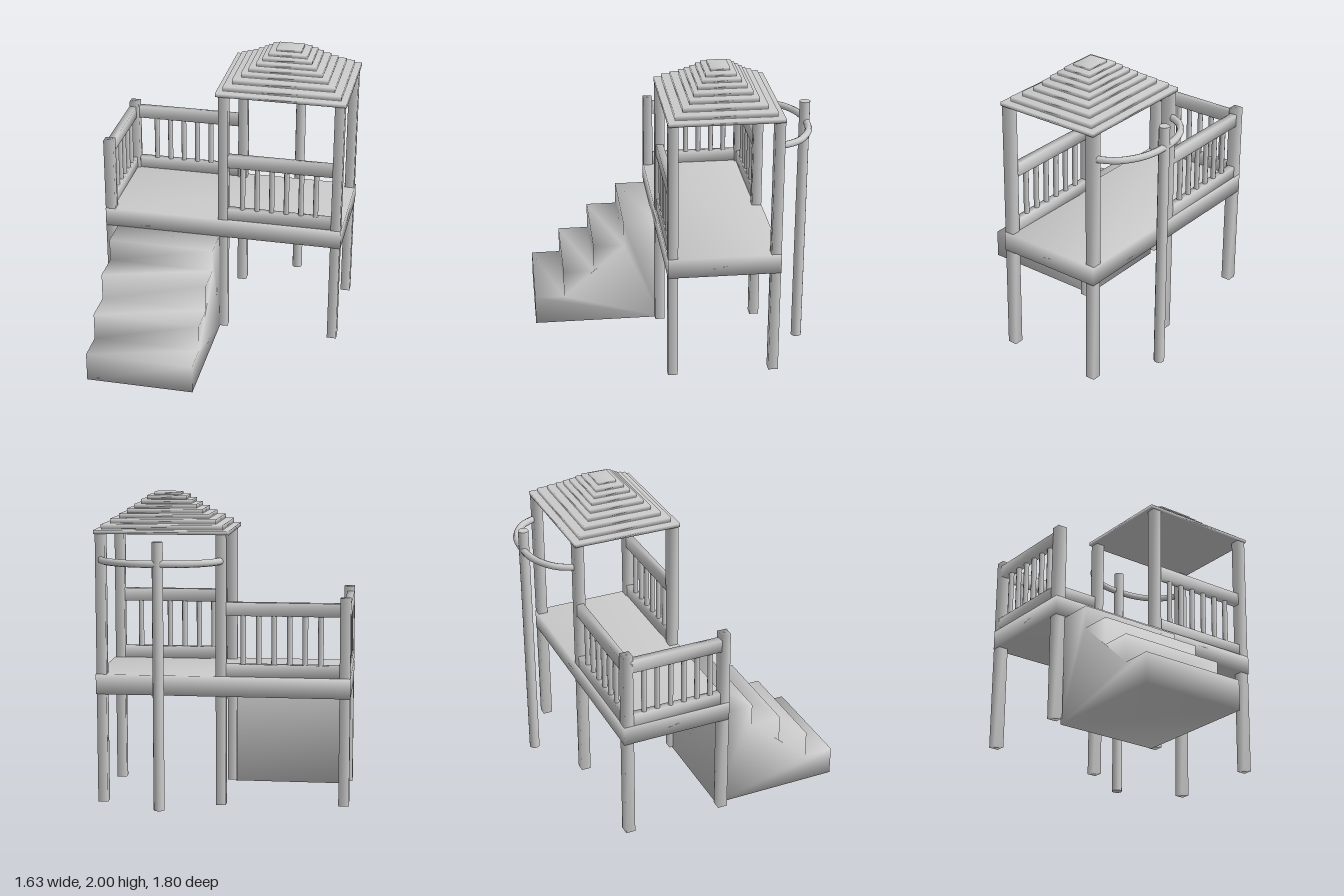
import * as THREE from 'three';
import { mergeVertices } from 'three/addons/utils/BufferGeometryUtils.js';

const material = new THREE.MeshStandardMaterial({ color: 0xcccccc });

// Weld the corners so shading runs softly across the edges
function soften(geometry) {
  geometry.deleteAttribute('uv');
  geometry.deleteAttribute('normal');
  const welded = mergeVertices(geometry, 1e-4);
  welded.computeVertexNormals();
  return welded;
}

function add(parent, name, geometry) {
  const mesh = new THREE.Mesh(geometry, material);
  mesh.name = name;
  parent.add(mesh);
  return mesh;
}

// Box given by its lower and upper limits on each axis
function block(parent, name, [x0, x1], [y0, y1], [z0, z1]) {
  const mesh = add(parent, name, soften(new THREE.BoxGeometry(x1 - x0, y1 - y0, z1 - z0)));
  mesh.position.set((x0 + x1) / 2, (y0 + y1) / 2, (z0 + z1) / 2);
  return mesh;
}

const around = (c, half) => [c - half, c + half];

// Two rails with six balusters, running along local x from the origin
function railing(name, length, firstBaluster, spacing) {
  const group = new THREE.Group();
  group.name = name;
  block(group, 'topRail', [0, length], [1.24, 1.325], around(0, 0.024));
  block(group, 'bottomRail', [0, length], [0.85, 0.93], around(0, 0.024));
  for (let i = 0; i < 6; i++) {
    const baluster = add(group, 'baluster', new THREE.CylinderGeometry(0.018, 0.018, 0.33, 8));
    baluster.position.set(firstBaluster + i * spacing, 1.085, 0);
  }
  return group;
}

export function createModel() {
  const model = new THREE.Group();
  model.name = 'playground';

  // Deck
  block(model, 'platform', [-0.82, 0.81], [0.72, 0.85], [-0.66, 0.07]);

  // Short posts at the right end, tall ones under the roof
  for (const z of [0.037, -0.627]) {
    block(model, 'shortPost', around(-0.785, 0.034), [0.025, 1.36], around(z, 0.032));
    for (const x of [0.003, 0.772]) {
      block(model, 'tallPost', around(x, 0.032), [0.01, 1.755], around(z, 0.032));
    }
  }

  // Railings
  const front = railing('frontRailing', 0.71, 0.1, 0.0995);
  front.position.set(0.033, 0, 0.037);
  const back = railing('backRailing', 0.73, 0.13, 0.0985);
  back.position.set(-0.76, 0, -0.632);
  const side = railing('sideRailing', 0.62, 0.07, 0.091);
  side.position.set(-0.795, 0, 0.01);
  side.rotation.y = Math.PI / 2;
  model.add(front, back, side);

  // Stepped roof: [half width, half depth, top height]
  const roof = new THREE.Group();
  roof.name = 'roof';
  const layers = [
    [0.432, 0.365, 1.775], [0.39, 0.32, 1.808], [0.34, 0.267, 1.84], [0.29, 0.22, 1.87],
    [0.245, 0.187, 1.9], [0.2, 0.157, 1.928], [0.165, 0.125, 1.955], [0.13, 0.098, 1.98],
    [0.085, 0.063, 2.0],
  ];
  let bottom = 1.75;
  for (const [w, d, top] of layers) {
    block(roof, 'roofLayer', around(0.383, w), [bottom, top], around(-0.295, d));
    bottom = top;
  }
  model.add(roof);

  // Solid stairs, drawn in side profile and extruded across their width
  const profile = new THREE.Shape();
  const outline = [
    [0.03, 0], [0.9, 0], [0.9, 0.197], [0.7, 0.197], [0.7, 0.383], [0.49, 0.383],
    [0.49, 0.568], [0.28, 0.568], [0.28, 0.722], [0.03, 0.722],
  ];
  profile.setFromPoints(outline.map(([z, y]) => new THREE.Vector2(z, y)));
  const stairs = add(model, 'stairs',
    soften(new THREE.ExtrudeGeometry(profile, { depth: 0.717, bevelEnabled: false })));
  stairs.rotation.y = -Math.PI / 2;
  stairs.position.x = -0.02;

  // Sliding pole and the curved bar that holds it
  const pole = add(model, 'slidingPole', new THREE.CylinderGeometry(0.035, 0.035, 1.7, 12));
  pole.position.set(0.372, 0.872, -0.862);
  const half = [[0.385, -0.63], [0.375, -0.67], [0.325, -0.755], [0.24, -0.82], [0.135, -0.86]];
  const bar = [
    ...half.map(([x, z]) => [-x, z]), [0, -0.872], ...half.slice().reverse(),
  ].map(([x, z]) => new THREE.Vector3(0.386 + x, 1.585, z));
  add(model, 'poleBar', new THREE.TubeGeometry(new THREE.CatmullRomCurve3(bar), 24, 0.023, 8));

  return model;
}
